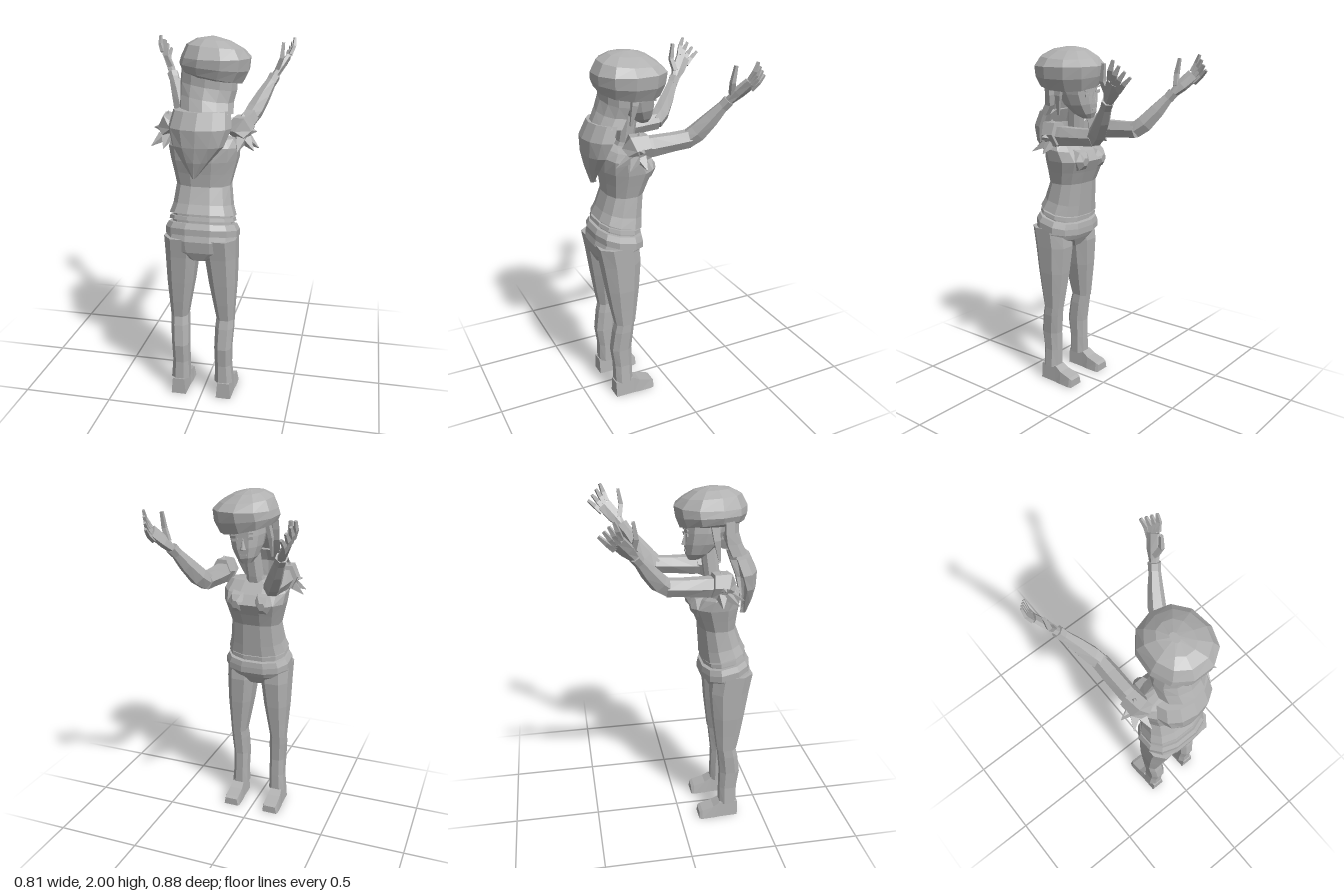
import * as THREE from 'three';

const V = (x, y, z) => new THREE.Vector3(x, y, z);
const grey = new THREE.MeshStandardMaterial({ color: 0xb0b0b0, flatShading: true, side: THREE.DoubleSide });
grey.name = 'plain grey';

// Closed skin through rings of equal length, capped at both ends and turned outwards
function loft(name, rings) {
  const n = rings[0].length, tris = [];
  for (let r = 0; r + 1 < rings.length; r++)
    for (let i = 0; i < n; i++) {
      const j = (i + 1) % n, a = rings[r], b = rings[r + 1];
      tris.push([a[i], b[i], b[j]], [a[i], b[j], a[j]]);
    }
  const first = rings[0], last = rings[rings.length - 1];
  for (const [ring, flip] of [[first, false], [last, true]]) {
    const c = V(0, 0, 0);
    ring.forEach(p => c.addScaledVector(p, 1 / n));
    for (let i = 0; i < n; i++) {
      const p = ring[i], q = ring[(i + 1) % n];
      tris.push(flip ? [c, q, p] : [c, p, q]);
    }
  }
  const cross = V(0, 0, 0);
  let volume = 0;
  for (const [a, b, c] of tris) volume += a.dot(cross.crossVectors(b, c));
  const pts = tris.flatMap(([a, b, c]) => (volume < 0 ? [a, c, b] : [a, b, c]));
  const geo = new THREE.BufferGeometry().setFromPoints(pts);
  geo.computeVertexNormals();
  const mesh = new THREE.Mesh(geo, grey);
  mesh.name = name;
  return mesh;
}

// Horizontal ring, slightly boxy, tilted by kz along z and kx along x
function ring(y, cx, cz, rx, rz, n = 10, kz = 0, kx = 0, power = 0.8) {
  const soft = v => Math.sign(v) * Math.pow(Math.abs(v), power);
  return Array.from({ length: n }, (_, i) => {
    const a = ((i + 0.5) / n) * Math.PI * 2;
    const dx = soft(Math.sin(a)) * rx, dz = soft(Math.cos(a)) * rz;
    return V(cx + dx, y + kz * dz + kx * dx, cz + dz);
  });
}

// Limb along stations [x, y, z, half height, half width]; s mirrors it in x
function limb(name, s, stations, n = 6, up = V(0, 1, 0)) {
  const p = stations.map(t => V(t[0], t[1], t[2]));
  const rings = stations.map((t, k) => {
    const dir = p[Math.min(k + 1, p.length - 1)].clone().sub(p[Math.max(k - 1, 0)]).normalize();
    const side = V(0, 0, 0).crossVectors(dir, up).normalize();
    const high = V(0, 0, 0).crossVectors(side, dir);
    return Array.from({ length: n }, (_, i) => {
      const a = ((i + 0.5) / n) * Math.PI * 2;
      const q = p[k].clone().addScaledVector(high, Math.cos(a) * t[3]).addScaledVector(side, Math.sin(a) * t[4]);
      q.x *= s;
      return q;
    });
  });
  return loft(name, rings);
}

// Curved sheet of hair: rows [y, centre x, half width, side z, back z, tilt]
function hairSheet(name, rows, thick) {
  const n = 6;
  return loft(name, rows.map(([y, cx, w, zs, zb, tilt = 0]) => {
    const arc = inset => Array.from({ length: n + 1 }, (_, i) => {
      const a = (i / n - 0.5) * Math.PI;
      const dx = Math.sin(a) * Math.max(w - inset, w * 0.5);
      return V(cx + dx, y + tilt * dx, zs + (zb - zs) * Math.cos(a) - (inset ? thick * Math.cos(a) : 0));
    });
    return [...arc(0), ...arc(thick).reverse()];
  }));
}

function createLeg(s) {
  const g = new THREE.Group();
  g.name = s > 0 ? 'leftLeg' : 'rightLeg';
  // trouser leg: [y, x, z, rx, rz]
  const thigh = [[0.97, 0.102, 0.3, 0.098, 0.12], [0.86, 0.108, 0.285, 0.09, 0.115],
    [0.7, 0.117, 0.28, 0.077, 0.095], [0.58, 0.124, 0.278, 0.062, 0.077], [0.48, 0.13, 0.275, 0.05, 0.06]];
  const shin = [[0.5, 0.13, 0.272, 0.05, 0.055], [0.43, 0.127, 0.285, 0.053, 0.06], [0.31, 0.122, 0.3, 0.05, 0.062],
    [0.2, 0.122, 0.292, 0.048, 0.055], [0.09, 0.126, 0.292, 0.054, 0.055]];
  const make = (name, rows) => g.add(loft(name, rows.map(([y, x, z, rx, rz]) => ring(y, s * x, z, rx, rz, 8))));
  make('thigh', thigh);
  make('shin', shin);
  // shoe: [z, half width, top height]
  g.add(loft('shoe', [[0.35, 0.042, 0.095], [0.24, 0.045, 0.1], [0.2, 0.05, 0.075], [0.13, 0.052, 0.055], [0.112, 0.046, 0.045]]
    .map(([z, w, h]) => [V(s * 0.13 - w, 0, z), V(s * 0.13 + w, 0, z), V(s * 0.13 + w * 0.8, h, z), V(s * 0.13 - w * 0.8, h, z)])));
  return g;
}

function createArm(s) {
  const g = new THREE.Group();
  g.name = s > 0 ? 'leftArm' : 'rightArm';
  g.add(limb('upperArm', s, [[0.185, 1.53, 0.22, 0.05, 0.045], [0.188, 1.528, 0.13, 0.06, 0.05],
    [0.19, 1.535, 0, 0.052, 0.05], [0.192, 1.54, -0.09, 0.052, 0.047]]));
  g.add(limb('forearm', s, [[0.188, 1.535, -0.08, 0.05, 0.043], [0.212, 1.575, -0.13, 0.054, 0.048],
    [0.25, 1.65, -0.19, 0.045, 0.04], [0.292, 1.735, -0.25, 0.028, 0.028]]));
  g.add(limb('cuff', s, [[0.283, 1.715, -0.238, 0.032, 0.032], [0.3, 1.75, -0.262, 0.034, 0.034]]));
  // hand with spread fingers
  const spread = V(0.4, 0.75, 0.55).normalize();
  g.add(limb('palm', s, [[0.298, 1.745, -0.262, 0.026, 0.022], [0.325, 1.79, -0.3, 0.042, 0.022],
    [0.362, 1.845, -0.348, 0.045, 0.018]], 6, spread));
  const base = [V(0.378, 1.862, -0.332), V(0.348, 1.805, -0.362)];
  const tip = [V(0.397, 1.955, -0.365), V(0.352, 1.875, -0.436)];
  for (let i = 0; i < 4; i++) {
    const a = base[0].clone().lerp(base[1], i / 3), b = tip[0].clone().lerp(tip[1], i / 3);
    const m = a.clone().lerp(b, 0.5);
    m.x += 0.008;
    g.add(limb('finger', s, [[...a.toArray(), 0.018, 0.014], [...m.toArray(), 0.017, 0.012], [...b.toArray(), 0.01, 0.009]], 4, spread));
  }
  g.add(limb('thumb', s, [[0.312, 1.785, -0.27, 0.018, 0.018], [0.338, 1.85, -0.257, 0.017, 0.016], [0.344, 1.935, -0.27, 0.011, 0.011]], 4, V(0, 0, 1)));
  // short sleeve with ragged points
  g.add(limb('sleeve', s, [[0.175, 1.5, 0.24, 0.06, 0.05], [0.19, 1.53, 0.22, 0.085, 0.062], [0.197, 1.54, 0.15, 0.07, 0.06]], 6));
  const spikes = [[0.285, 1.435, 0.195], [0.272, 1.44, 0.285], [0.275, 1.525, 0.21], [0.2, 1.615, 0.2], [0.195, 1.44, 0.33]];
  for (const [x, y, z] of spikes)
    g.add(limb('sleevePoint', s, [[0.2 + (x - 0.2) * 0.3, 1.525 + (y - 1.525) * 0.5, 0.2 + (z - 0.2) * 0.35, 0.03, 0.035], [x, y, z, 0.002, 0.002]], 4, V(0.1, 1, 0.3)));
  return g;
}

function createHead() {
  const g = new THREE.Group();
  g.name = 'head';
  g.add(loft('neck', [ring(1.44, 0, 0.225, 0.065, 0.06, 8), ring(1.52, 0.005, 0.195, 0.048, 0.045, 8), ring(1.68, 0.02, 0.175, 0.045, 0.045, 8)]));
  g.add(loft('face', [[1.615, 0.015, 0.095, 0.028, 0.03], [1.645, 0.018, 0.115, 0.058, 0.065], [1.7, 0.025, 0.14, 0.085, 0.095],
    [1.76, 0.03, 0.155, 0.098, 0.107], [1.85, 0.04, 0.165, 0.1, 0.115]].map(([y, x, z, rx, rz]) => ring(y, x, z, rx, rz, 10, 0, -0.15))));
  // nose, eyes and mouth on the face
  g.add(loft('nose', [[V(0.005, 1.695, 0.05), V(0.041, 1.69, 0.05), V(0.025, 1.765, 0.055)],
    [V(0.018, 1.698, 0.03), V(0.028, 1.697, 0.03), V(0.025, 1.755, 0.046)]]));
  const plate = (name, x, y, z, w, h) => {
    const m = new THREE.Mesh(new THREE.BoxGeometry(w, h, 0.008), grey);
    m.name = name;
    m.position.set(x, y, z);
    m.rotation.z = -0.15;
    g.add(m);
  };
  for (const s of [-1, 1]) {
    plate('eye', 0.028 + s * 0.044, 1.752 - s * 0.007, 0.053, 0.036, 0.016);
    plate('eyebrow', 0.03 + s * 0.044, 1.778 - s * 0.007, 0.052, 0.042, 0.007);
  }
  plate('mouth', 0.02, 1.665, 0.05, 0.036, 0.009);
  // hair: back of the head, loose fall and side strands
  g.add(hairSheet('backHair', [[1.86, 0.035, 0.145, 0.24, 0.34, -0.15], [1.76, 0.027, 0.148, 0.24, 0.34, -0.15],
    [1.7, 0.02, 0.14, 0.25, 0.36, -0.15], [1.64, 0.025, 0.14, 0.28, 0.39, -0.1]], 0.04));
  g.add(hairSheet('hairFall', [[1.645, 0.005, 0.15, 0.3, 0.4], [1.56, 0.0, 0.165, 0.33, 0.44], [1.47, -0.005, 0.135, 0.36, 0.435],
    [1.39, -0.015, 0.075, 0.365, 0.42], [1.3, -0.022, 0.008, 0.375, 0.39]], 0.035));
  for (const s of [-1, 1])
    g.add(limb('sideStrand', 1, [[0.035 + s * 0.105, 1.82, 0.19, 0.03, 0.016], [0.03 + s * 0.115, 1.74, 0.2, 0.025, 0.016],
      [0.02 + s * 0.11, 1.63, 0.215, 0.008, 0.006]], 4, V(0, 0, 1)));
  // soft slouched cap
  const cap = [[1.795, 0.035, 0.2, 0.125, 0.13, 0.02, -0.15], [1.8, 0.04, 0.195, 0.158, 0.172, 0.08, -0.2],
    [1.85, 0.05, 0.192, 0.182, 0.192, 0.03, -0.1], [1.9, 0.058, 0.19, 0.18, 0.198, 0, -0.02],
    [1.95, 0.055, 0.195, 0.148, 0.16, 0.06, -0.08], [1.985, 0.045, 0.195, 0.085, 0.1, 0.05, -0.08], [2.0, 0.035, 0.195, 0.02, 0.03, 0, 0]];
  g.add(loft('cap', cap.map(([y, x, z, rx, rz, kz, kx]) => ring(y, x, z, rx, rz, 11, kz, kx, 0.9))));
  return g;
}

export function createModel() {
  const model = new THREE.Group();
  model.name = 'wavingFigure';
  // torso: [y, z, rx, rz, tilt]
  const torso = [[1.075, 0.26, 0.18, 0.125, 0.25], [1.13, 0.245, 0.162, 0.115, 0.2], [1.24, 0.223, 0.148, 0.104, 0],
    [1.31, 0.212, 0.165, 0.122, 0], [1.375, 0.202, 0.182, 0.142, 0], [1.44, 0.22, 0.19, 0.122, 0.1], [1.49, 0.235, 0.165, 0.07, 0], [1.5, 0.225, 0.08, 0.05, 0]];
  model.add(loft('shirt', torso.map(([y, z, rx, rz, k]) => ring(y, 0, z, rx, rz, 12, k))));
  // bust
  for (const s of [-1, 1])
    model.add(limb('bust', s, [[0.075, 1.38, 0.14, 0.075, 0.075], [0.078, 1.378, 0.085, 0.058, 0.055], [0.08, 1.375, 0.06, 0.025, 0.022]], 6));
  // waist, belt and hips follow the same forward tilt
  const band = (name, rows) => model.add(loft(name, rows.map(([y, z, rx, rz, k = 0.22]) => ring(y, 0, z, rx, rz, 12, k))));
  band('waist', [[1.0, 0.265, 0.165, 0.11], [1.08, 0.26, 0.16, 0.105]]);
  band('shirtHem', [[1.045, 0.265, 0.18, 0.125], [1.065, 0.262, 0.176, 0.122]]);
  band('belt', [[0.965, 0.27, 0.2, 0.142], [1.0, 0.27, 0.2, 0.142], [1.03, 0.265, 0.184, 0.132]]);
  band('hips', [[0.85, 0.29, 0.07, 0.1, 0], [0.9, 0.287, 0.185, 0.125, 0], [0.95, 0.283, 0.197, 0.138, 0.1], [0.99, 0.272, 0.19, 0.132]]);
  model.add(createHead());
  for (const s of [-1, 1]) model.add(createLeg(s), createArm(s));
  return model;
}
